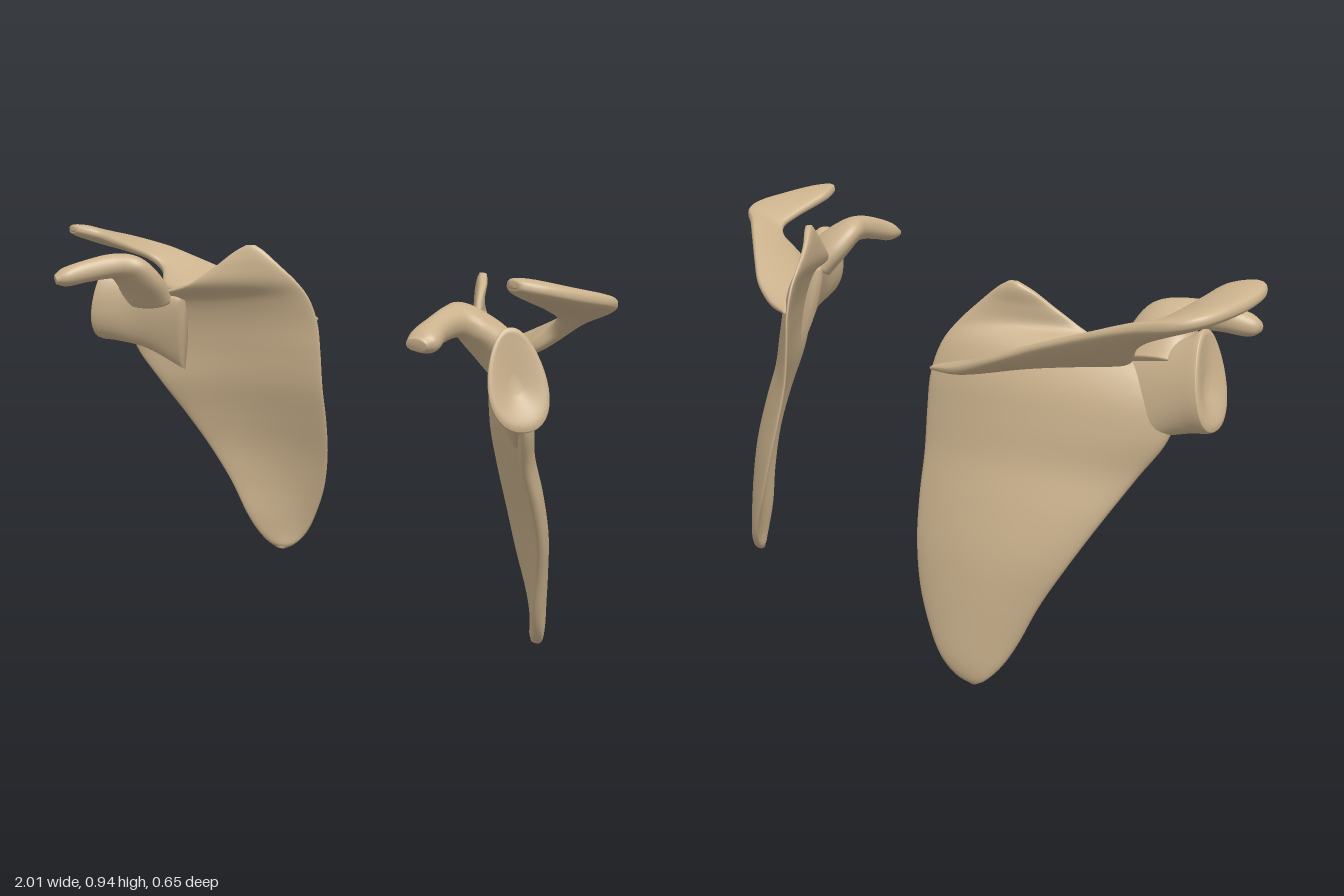
import * as THREE from 'three';

const bone = new THREE.MeshStandardMaterial({ color: 0xcbb28d });
bone.name = 'bone';

// Each section: [edge P x,y,z, edge Q x,y,z, half thickness at P, at Q, bow]
const BLADE = [
  [0.53, 0.003, -0.262, 0.55, 0.003, -0.258, 0.008, 0.008, 0],
  [0.505, 0.02, -0.288, 0.572, 0.02, -0.242, 0.014, 0.016, 0],
  [0.478, 0.055, -0.308, 0.594, 0.055, -0.218, 0.014, 0.02, 0.006],
  [0.447, 0.11, -0.317, 0.617, 0.11, -0.193, 0.013, 0.022, 0.014],
  [0.404, 0.2, -0.318, 0.652, 0.2, -0.165, 0.011, 0.022, 0.024],
  [0.376, 0.3, -0.31, 0.697, 0.3, -0.122, 0.01, 0.023, 0.03],
  [0.359, 0.4, -0.293, 0.737, 0.4, -0.065, 0.01, 0.024, 0.032],
  [0.351, 0.5, -0.274, 0.775, 0.5, 0, 0.01, 0.024, 0.032],
  [0.35, 0.6, -0.266, 0.82, 0.59, 0.045, 0.01, 0.026, 0.028],
  [0.355, 0.68, -0.26, 0.82, 0.67, 0.06, 0.01, 0.026, 0.02],
  [0.368, 0.75, -0.24, 0.76, 0.735, 0.045, 0.011, 0.02, 0.008],
  [0.389, 0.8, -0.208, 0.615, 0.78, 0.0, 0.012, 0.013, 0],
  [0.42, 0.845, -0.172, 0.555, 0.83, -0.05, 0.013, 0.012, 0],
  [0.45, 0.878, -0.148, 0.518, 0.873, -0.094, 0.013, 0.012, 0],
  [0.472, 0.894, -0.133, 0.492, 0.893, -0.118, 0.008, 0.008, 0],
];
const SPINE = [
  [0.358, 0.69, -0.264, 0.37, 0.7, -0.248, 0.006, 0.006, 0],
  [0.45, 0.705, -0.262, 0.47, 0.715, -0.18, 0.015, 0.018, 0],
  [0.55, 0.742, -0.245, 0.58, 0.735, -0.105, 0.016, 0.022, 0],
  [0.65, 0.785, -0.205, 0.68, 0.745, -0.04, 0.017, 0.024, 0],
  [0.77, 0.828, -0.152, 0.755, 0.757, -0.012, 0.018, 0.024, 0],
  [0.87, 0.858, -0.108, 0.805, 0.802, -0.035, 0.02, 0.02, 0],
  [0.955, 0.87, -0.075, 0.838, 0.838, -0.02, 0.022, 0.018, 0],
  [0.998, 0.884, -0.02, 0.852, 0.864, 0.03, 0.023, 0.018, 0],
  [1.0, 0.9, 0.07, 0.86, 0.89, 0.09, 0.023, 0.02, 0],
  [0.983, 0.914, 0.14, 0.868, 0.912, 0.14, 0.02, 0.02, 0],
  [0.955, 0.922, 0.18, 0.9, 0.924, 0.178, 0.014, 0.014, 0],
  [0.936, 0.924, 0.188, 0.918, 0.924, 0.188, 0.006, 0.006, 0],
];
const NECK = [
  [0.65, 0.735, -0.01, 0.7, 0.53, -0.04, 0.02, 0.015, 0],
  [0.755, 0.775, 0.05, 0.785, 0.585, 0.025, 0.035, 0.035, 0],
  [0.815, 0.805, 0.09, 0.845, 0.605, 0.08, 0.045, 0.062, 0],
  [0.84, 0.825, 0.112, 0.882, 0.61, 0.108, 0.05, 0.078, 0],
  [0.848, 0.82, 0.116, 0.89, 0.618, 0.112, 0.048, 0.076, 0],
  [0.85, 0.8, 0.116, 0.886, 0.64, 0.112, 0.036, 0.058, 0],
  [0.854, 0.725, 0.112, 0.862, 0.69, 0.11, 0.01, 0.012, 0],
];
const CORACOID = [
  [0.68, 0.73, 0.01, 0.83, 0.74, 0.08, 0.04, 0.045, 0],
  [0.655, 0.79, 0.065, 0.815, 0.785, 0.1, 0.04, 0.045, 0],
  [0.658, 0.84, 0.12, 0.79, 0.812, 0.14, 0.035, 0.038, 0],
  [0.697, 0.842, 0.18, 0.77, 0.822, 0.172, 0.033, 0.034, 0],
  [0.73, 0.825, 0.25, 0.782, 0.815, 0.228, 0.03, 0.03, 0],
  [0.745, 0.808, 0.298, 0.815, 0.802, 0.28, 0.026, 0.026, 0],
  [0.765, 0.8, 0.325, 0.808, 0.797, 0.308, 0.013, 0.013, 0],
];

// Smooth closed skin over flat rounded sections, mirrored when side is -1
function loft(name, rows, side, { steps = 60, ring = 36, square = 0.7, normal = null } = {}) {
  const curve = (k) => new THREE.CatmullRomCurve3(
    rows.map((r) => new THREE.Vector3(r[k], r[k + 1], r[k + 2])), false, 'catmullrom', 0.5);
  const [pCurve, qCurve, tCurve] = [curve(0), curve(3), curve(6)];
  const middle = (t) => pCurve.getPoint(t).add(qCurve.getPoint(t)).multiplyScalar(0.5);
  const pos = [], idx = [];
  const put = (v) => pos.push(v.x * side, v.y, v.z);
  const tri = (a, b, c) => (side > 0 ? idx.push(a, b, c) : idx.push(a, c, b));

  for (let i = 0; i <= steps; i++) {
    const t = i / steps;
    const p = pCurve.getPoint(t), q = qCurve.getPoint(t), th = tCurve.getPoint(t);
    const along = middle(Math.min(1, t + 0.01)).sub(middle(Math.max(0, t - 0.01)));
    const n = normal ? normal.clone() : along.cross(q.clone().sub(p));
    n.normalize();
    for (let j = 0; j < ring; j++) {
      const a = (j / ring) * Math.PI * 2;
      const u = (1 - Math.cos(a)) / 2, s = Math.sin(a);
      const half = THREE.MathUtils.lerp(th.x, th.y, u) * Math.sign(s) * Math.abs(s) ** square;
      put(p.clone().lerp(q, u).addScaledVector(n, half + th.z * 4 * u * (1 - u)));
    }
  }
  const start = pos.length / 3, last = steps * ring;
  put(middle(0));
  put(middle(1));
  for (let j = 0; j < ring; j++) {
    const k = (j + 1) % ring;
    for (let i = 0; i < steps; i++) {
      const a = i * ring + j, b = i * ring + k;
      tri(a, a + ring, b);
      tri(b, a + ring, b + ring);
    }
    tri(start, j, k);
    tri(start + 1, last + k, last + j);
  }
  const g = new THREE.BufferGeometry();
  g.setAttribute('position', new THREE.Float32BufferAttribute(pos, 3));
  g.setIndex(idx);
  g.computeVertexNormals();
  const mesh = new THREE.Mesh(g, bone);
  mesh.name = name;
  return mesh;
}

function shoulderBlade(side) {
  const group = new THREE.Group();
  group.name = side > 0 ? 'leftShoulderBlade' : 'rightShoulderBlade';
  group.add(
    loft('blade', BLADE, side, { steps: 84, ring: 48 }),
    loft('spineAndAcromion', SPINE, side, { steps: 72 }),
    // Neck ending in the shallow socket
    loft('neckAndSocket', NECK, side, { square: 0.9, normal: new THREE.Vector3(0.35, 0, -0.94) }),
    loft('hookProcess', CORACOID, side, { square: 0.9 }),
  );
  return group;
}

export function createModel() {
  const model = new THREE.Group();
  model.name = 'shoulderBlades';
  for (const side of [1, -1]) model.add(shoulderBlade(side));
  return model;
}
